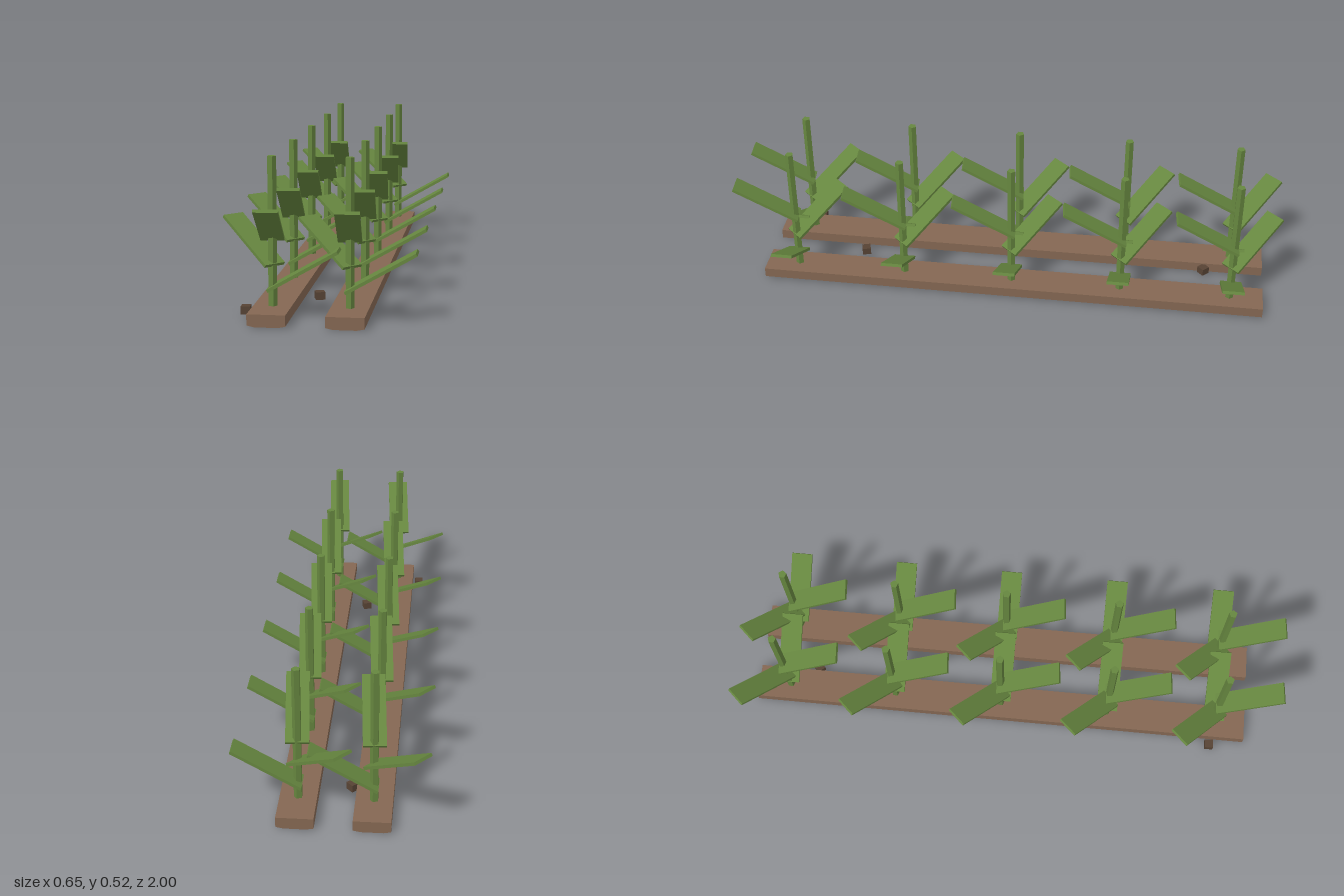
import * as THREE from 'three';

const green = new THREE.MeshStandardMaterial({ name: 'leaf green', color: 0x66863f, flatShading: true });
const soil = new THREE.MeshStandardMaterial({ name: 'soil brown', color: 0x846752, flatShading: true });
const darkSoil = new THREE.MeshStandardMaterial({ name: 'dark soil', color: 0x574334, flatShading: true });

const ROWS = [-0.14, 0.108];
const MID_Z = -0.022;
const SPACING = 0.4025;

function add(parent, name, geometry, material, x = 0, y = 0, z = 0) {
  const mesh = new THREE.Mesh(geometry, material);
  mesh.name = name;
  mesh.position.set(x, y, z);
  parent.add(mesh);
  return mesh;
}

// Long soil bed with a shallow bevelled underside
function bedGeometry() {
  const profile = [[-0.0615, 0.005], [-0.037, 0], [0.037, 0], [0.0615, 0.005], [0.0615, 0.041], [-0.0615, 0.041]];
  const shape = new THREE.Shape(profile.map(([x, y]) => new THREE.Vector2(x, y)));
  const length = 1.854;
  const geometry = new THREE.ExtrudeGeometry(shape, { depth: length, bevelEnabled: false });
  return geometry.translate(0, 0, -length / 2);
}

// Five-sided stalk with a corner towards +x
const stalkGeometry = new THREE.CylinderGeometry(0.015, 0.015, 0.493, 5, 1, false, Math.PI / 2);

// Flat leaf rising outwards at thirty degrees
const leafGeometry = new THREE.BoxGeometry(0.26, 0.0105, 0.077)
  .rotateZ(Math.PI / 6)
  .translate(0.1005, 0, 0);

function createPlant() {
  const plant = new THREE.Group();
  plant.name = 'plant';
  add(plant, 'stalk', stalkGeometry, green, 0, 0.2765, 0);
  // Leaves spiral up the stalk
  for (let k = 0; k < 3; k++) {
    const leaf = add(plant, 'leaf', leafGeometry, green, 0, 0.16 + 0.08 * k, 0);
    leaf.rotation.y = 2.4 * k;
  }
  return plant;
}

export function createModel() {
  const model = new THREE.Group();
  model.name = 'cropRows';

  const bed = bedGeometry();
  for (const x of ROWS) {
    add(model, 'soilBed', bed, soil, x, 0, MID_Z);
    for (let i = -2; i <= 2; i++) {
      const plant = createPlant();
      plant.position.set(x, 0, MID_Z + i * SPACING);
      model.add(plant);
    }
  }

  // Loose clods beside the beds: x, z, turn
  const clod = new THREE.BoxGeometry(0.031, 0.026, 0.031);
  for (const [x, z, turn] of [[-0.063, -0.73, 0.75], [-0.022, 0.557, 0.3], [-0.228, 0.777, 0.06]]) {
    add(model, 'clod', clod, darkSoil, x, 0.024, z).rotation.y = turn;
  }
  return model;
}
